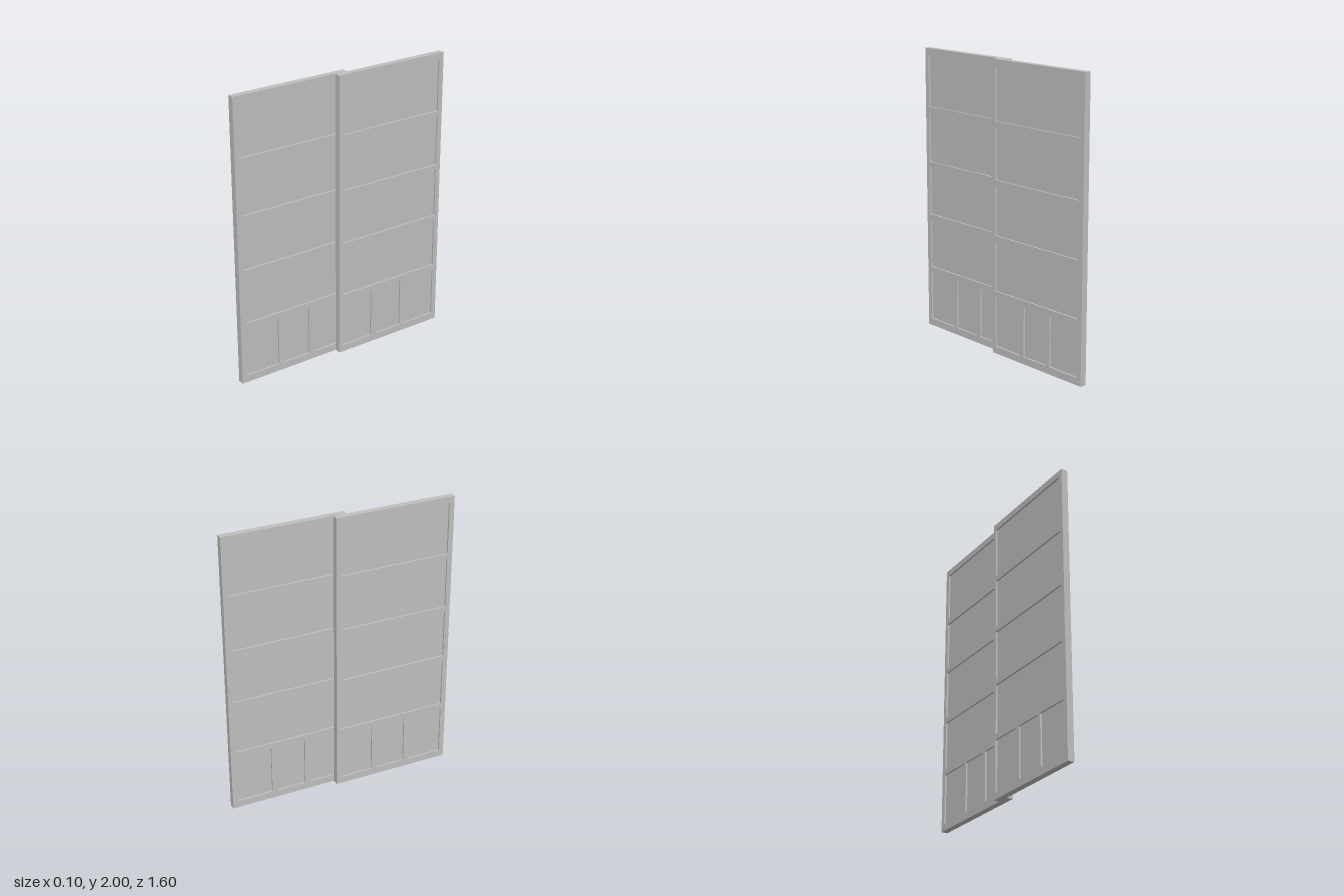
import * as THREE from 'three';

const THICK = 0.045, INNER = -0.045, OUTER = 0.8, HEIGHT = 2;
const RECESS = 0.012;

// panel openings as [u0, u1, y0, y1], u running from the overlap to the outer edge
const openings = [
  [0.44, 0.785], [0.825, 1.17], [1.205, 1.555], [1.595, 1.955],
].map(([y0, y1]) => [-0.015, 0.765, y0, y1]);
for (const [u0, u1] of [[-0.015, 0.225], [0.265, 0.475], [0.51, 0.765]]) {
  openings.push([u0, u1, 0.05, 0.4]);
}

// rectangle with slightly softened corners
function roundedRect(path, u0, u1, y0, y1, r) {
  path.moveTo(u0 + r, y0);
  path.lineTo(u1 - r, y0).quadraticCurveTo(u1, y0, u1, y0 + r);
  path.lineTo(u1, y1 - r).quadraticCurveTo(u1, y1, u1 - r, y1);
  path.lineTo(u0 + r, y1).quadraticCurveTo(u0, y1, u0, y1 - r);
  path.lineTo(u0, y0 + r).quadraticCurveTo(u0, y0, u0 + r, y0);
  return path;
}

function makeDoor(name, material) {
  const door = new THREE.Group();
  door.name = name;
  const add = (part, geometry) => {
    const mesh = new THREE.Mesh(geometry, material);
    mesh.name = part;
    door.add(mesh);
    return mesh;
  };

  // frame of stiles and rails
  const outline = new THREE.Shape();
  outline.moveTo(INNER, 0).lineTo(OUTER, 0).lineTo(OUTER, HEIGHT).lineTo(INNER, HEIGHT).closePath();
  for (const o of openings) outline.holes.push(roundedRect(new THREE.Path(), ...o, 0.005));
  add('frame', new THREE.ExtrudeGeometry(outline, { depth: THICK, bevelEnabled: false, curveSegments: 3 }));

  // recessed panels, set back on both faces
  for (const [u0, u1, y0, y1] of openings) {
    add('panel', new THREE.BoxGeometry(u1 - u0, y1 - y0, THICK - 2 * RECESS))
      .position.set((u0 + u1) / 2, (y0 + y1) / 2, THICK / 2);
  }

  // slim finger pulls near the outer edge, one on each face
  for (const z of [0, THICK]) {
    add('pull', new THREE.BoxGeometry(0.02, 0.1, 0.006)).position.set(0.785, 0.94, z);
  }
  return door;
}

export function createModel() {
  const model = new THREE.Group();
  model.name = 'slidingDoors';
  const grey = new THREE.MeshStandardMaterial({ color: 0xbfbfbf });
  grey.name = 'grey';

  // two doors overlapping in the middle, each the other turned half round
  const backDoor = makeDoor('backDoor', grey);
  backDoor.rotation.y = Math.PI / 2;
  const frontDoor = makeDoor('frontDoor', grey);
  frontDoor.rotation.y = -Math.PI / 2;
  model.add(backDoor, frontDoor);
  return model;
}
